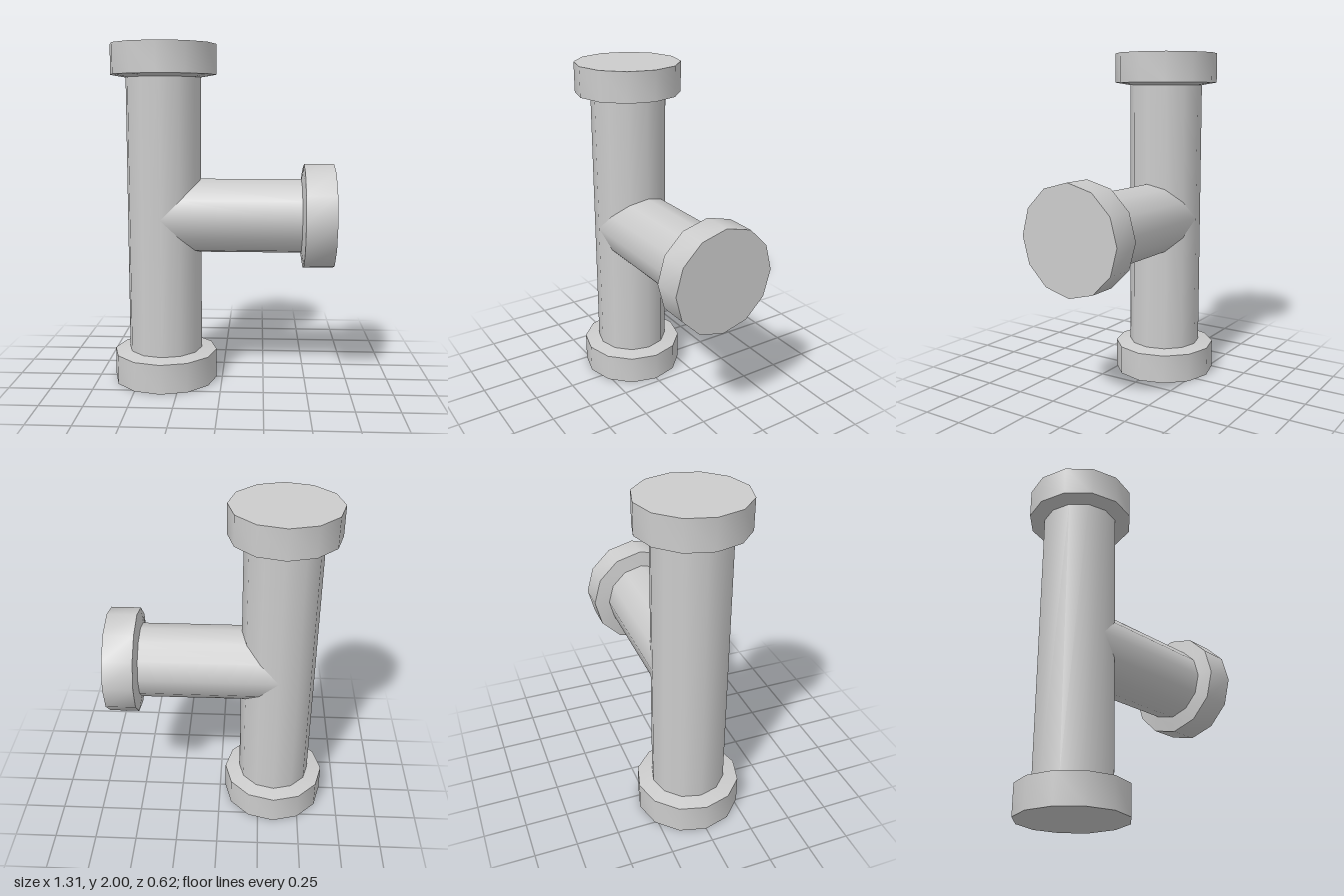
import * as THREE from 'three';
import { toCreasedNormals } from 'three/addons/utils/BufferGeometryUtils.js';

const SIDES = 12;
const PIPE_R = 0.22;
const FLANGE_R = 0.31;
const AXIS_X = -0.345; // axis of the upright pipe
const END_X = 0.655; // outer face of the side branch
const RIM = 0.175; // flange height at its rim
const NECK = 0.19; // flange height where it meets the pipe

export function createModel() {
  const group = new THREE.Group();
  const material = new THREE.MeshStandardMaterial({ color: 0xcccccc });

  const add = (name, geometry, x, y, rotZ = 0) => {
    const mesh = new THREE.Mesh(geometry, material);
    mesh.name = name;
    mesh.position.set(x, y, 0);
    mesh.rotation.z = rotZ;
    group.add(mesh);
  };

  // Upright pipe between the two end flanges
  add('mainPipe', new THREE.CylinderGeometry(PIPE_R, PIPE_R, 2 - 2 * NECK, SIDES, 1, true), AXIS_X, 1);

  // Side branch, its inner end mitred to fit the upright pipe
  const length = END_X - NECK - AXIS_X;
  const branch = new THREE.CylinderGeometry(PIPE_R, PIPE_R, length, SIDES, 1, true);
  branch.translate(0, length / 2, 0);
  const pos = branch.attributes.position;
  for (let i = 0; i < pos.count; i++) {
    if (pos.getY(i) < length / 2) pos.setY(i, Math.abs(pos.getX(i)));
  }
  add('branchPipe', branch, AXIS_X, 1, -Math.PI / 2);

  // Closed flange with a shallow sloping shoulder, one on each end
  const profile = [[0, 0], [FLANGE_R, 0], [FLANGE_R, RIM], [PIPE_R, NECK]];
  const flange = toCreasedNormals(
    new THREE.LatheGeometry(profile.map(([r, h]) => new THREE.Vector2(r, h)), SIDES),
    THREE.MathUtils.degToRad(40)
  );
  add('bottomFlange', flange, AXIS_X, 0);
  add('topFlange', flange, AXIS_X, 2, Math.PI);
  add('branchFlange', flange, END_X, 1, Math.PI / 2);

  return group;
}
